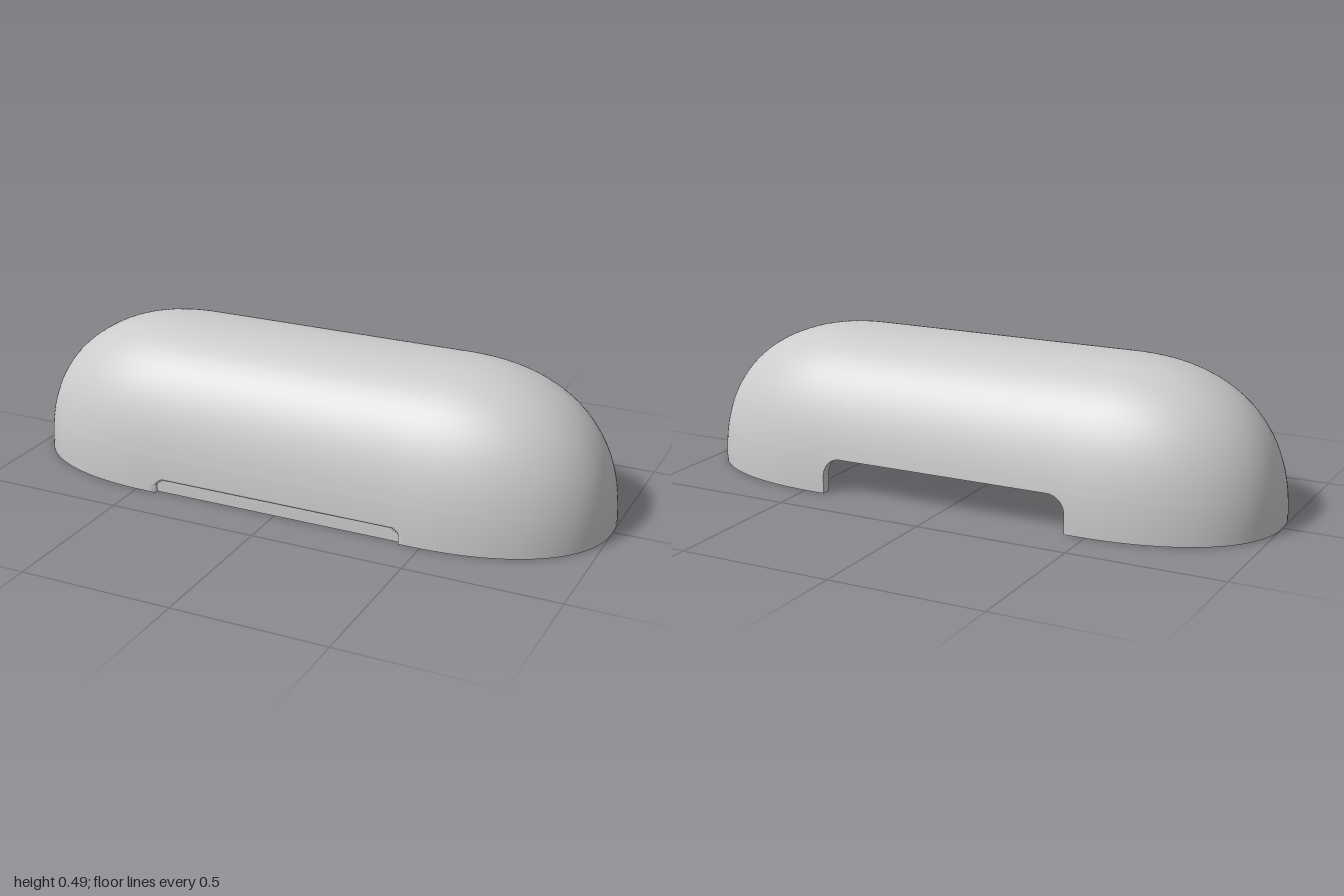
import * as THREE from 'three';
import { mergeVertices } from 'three/addons/utils/BufferGeometryUtils.js';

const STRAIGHT = 0.45, NOTCH_X = 0.43, NOTCH_H = 0.12, NOTCH_R = 0.06;
const RECESS_H = 0.05, RECESS_D = 0.014, POWER = 2.35;
const OUTER = { a: 0.55, b: 0.36, h: 0.49, recess: RECESS_D };
const INNER = { a: 0.517, b: 0.327, h: 0.455, recess: 0 };

const material = new THREE.MeshStandardMaterial({ color: 0xcccccc });

// Shrink factor of the plan outline at height y
const shrink = (y, h) => Math.pow(Math.max(0, 1 - Math.pow(y / h, POWER)), 1 / POWER);
const spow = (v, p) => Math.sign(v) * Math.pow(Math.abs(v), p);

// Columns around the plan outline: two straight sides joined by two round ends
function makeColumns() {
  const half = [[STRAIGHT, 0], [NOTCH_X, 0]];
  for (let i = 0; i <= 8; i++) {
    const t = (i / 8) * Math.PI / 2;
    half.push([NOTCH_X - NOTCH_R * (1 - Math.cos(t)), NOTCH_H - NOTCH_R * (1 - Math.sin(t))]);
  }
  half.push([0.25, NOTCH_H], [0.12, NOTCH_H]);
  const side = [...half, [0, NOTCH_H], ...half.slice().reverse().map(([x, y]) => [-x, y])];
  const cols = [];
  const end = (sign) => {
    for (let i = 1; i < 48; i++) {
      const t = Math.PI / 2 - (i / 48) * Math.PI;
      cols.push({ cx: sign * STRAIGHT, dx: sign * spow(Math.cos(t), 2 / 2.25), dz: sign * spow(Math.sin(t), 2 / 2.25), base: 0, dent: 0 });
    }
  };
  for (const [x, y] of side) cols.push({ cx: -x, dx: 0, dz: 1, base: 0, dent: RECESS_H * y / NOTCH_H });
  end(1);
  for (const [x, y] of side) cols.push({ cx: x, dx: 0, dz: -1, base: y, dent: 0 });
  end(-1);
  return cols;
}

function shellPoint(c, y, size) {
  const yy = Math.max(y, c.base), s = shrink(yy, size.h);
  const dent = yy < c.dent - 1e-6 ? size.recess : 0;
  return [c.cx + size.a * c.dx * s, yy, c.dz * (size.b * s - dent)];
}

// Grid closed around u, open along v
function closedGrid(nu, nv, fn, flip) {
  const pos = [], index = [];
  for (let i = 0; i < nu; i++) for (let j = 0; j <= nv; j++) pos.push(...fn(i, j));
  for (let i = 0; i < nu; i++) for (let j = 0; j < nv; j++) {
    const a = i * (nv + 1) + j, b = ((i + 1) % nu) * (nv + 1) + j;
    if (flip) index.push(a, b + 1, b, a, a + 1, b + 1);
    else index.push(a, b, b + 1, a, b + 1, a + 1);
  }
  const g = new THREE.BufferGeometry();
  g.setAttribute('position', new THREE.Float32BufferAttribute(pos, 3));
  g.setIndex(index);
  return g;
}

// Heights: fine near the rim, then evenly round the dome
function heights(h) {
  const ys = [];
  for (let y = 0; y < 0.1301; y += 0.005) ys.push(y);
  const t0 = Math.asin(Math.pow(0.13 / h, POWER / 2));
  for (let i = 1; i <= 30; i++) ys.push(h * Math.pow(Math.sin(t0 + (i / 30) * (Math.PI / 2 - t0)), 2 / POWER));
  ys[ys.length - 1] = h;
  return ys;
}

export function createModel() {
  const group = new THREE.Group();
  const add = (name, geometry) => {
    const mesh = new THREE.Mesh(geometry, material);
    mesh.name = name;
    group.add(mesh);
    return mesh;
  };
  const cols = makeColumns();

  // Outer and inner skins
  const skin = (name, size, flip) => {
    const ys = heights(size.h);
    const g = mergeVertices(closedGrid(cols.length, ys.length - 1, (i, j) => shellPoint(cols[i], ys[j], size), flip), 1e-5);
    g.computeVertexNormals();
    add(name, g);
  };
  skin('outerShell', OUTER, false);
  skin('innerShell', INNER, true);

  // Rim joining both skins, including the hinge notch edges
  const rim = closedGrid(cols.length, 1, (i, j) => shellPoint(cols[i], 0, j ? INNER : OUTER), true).toNonIndexed();
  rim.computeVertexNormals();
  add('rim', rim);

  // Thin plate following the inside of the front wall
  const wallZ = (y) => INNER.b * shrink(y, INNER.h);
  const plate = new THREE.BoxGeometry(0.32, 0.25, 0.02, 1, 12, 1);
  const p = plate.attributes.position;
  for (let i = 0; i < p.count; i++) {
    const y = p.getY(i) + 0.165;
    p.setXYZ(i, p.getX(i), y, wallZ(y) + p.getZ(i));
  }
  plate.computeVertexNormals();
  add('innerPlate', plate);

  for (const s of [1, -1]) {
    // Ridges on the front wall
    const bar = add('wallRidge', new THREE.CapsuleGeometry(0.014, 0.15, 4, 12));
    bar.rotation.z = Math.PI / 2;
    bar.position.set(s * 0.355, 0.2, wallZ(0.2));

    // Small ribs under the roof
    const rib = add('roofRib', new THREE.BoxGeometry(0.02, 0.05, 0.04));
    rib.position.set(s * 0.35, 0.375, wallZ(0.375) - 0.008);
    rib.rotation.x = -0.7;

    // Curved ridges inside the round ends
    const pts = [];
    const k = shrink(0.18, INNER.h);
    for (let i = 0; i <= 8; i++) {
      const t = (i / 8) * 0.6;
      pts.push(new THREE.Vector3(s * (STRAIGHT + INNER.a * k * Math.pow(Math.cos(t), 2 / 2.25)), 0.18, INNER.b * k * Math.pow(Math.sin(t), 2 / 2.25)));
    }
    add('endRidge', new THREE.TubeGeometry(new THREE.CatmullRomCurve3(pts), 16, 0.013, 10));
    for (const end of [pts[0], pts[8]]) add('endRidgeTip', new THREE.SphereGeometry(0.013, 10, 8)).position.copy(end);
  }
  return group;
}
